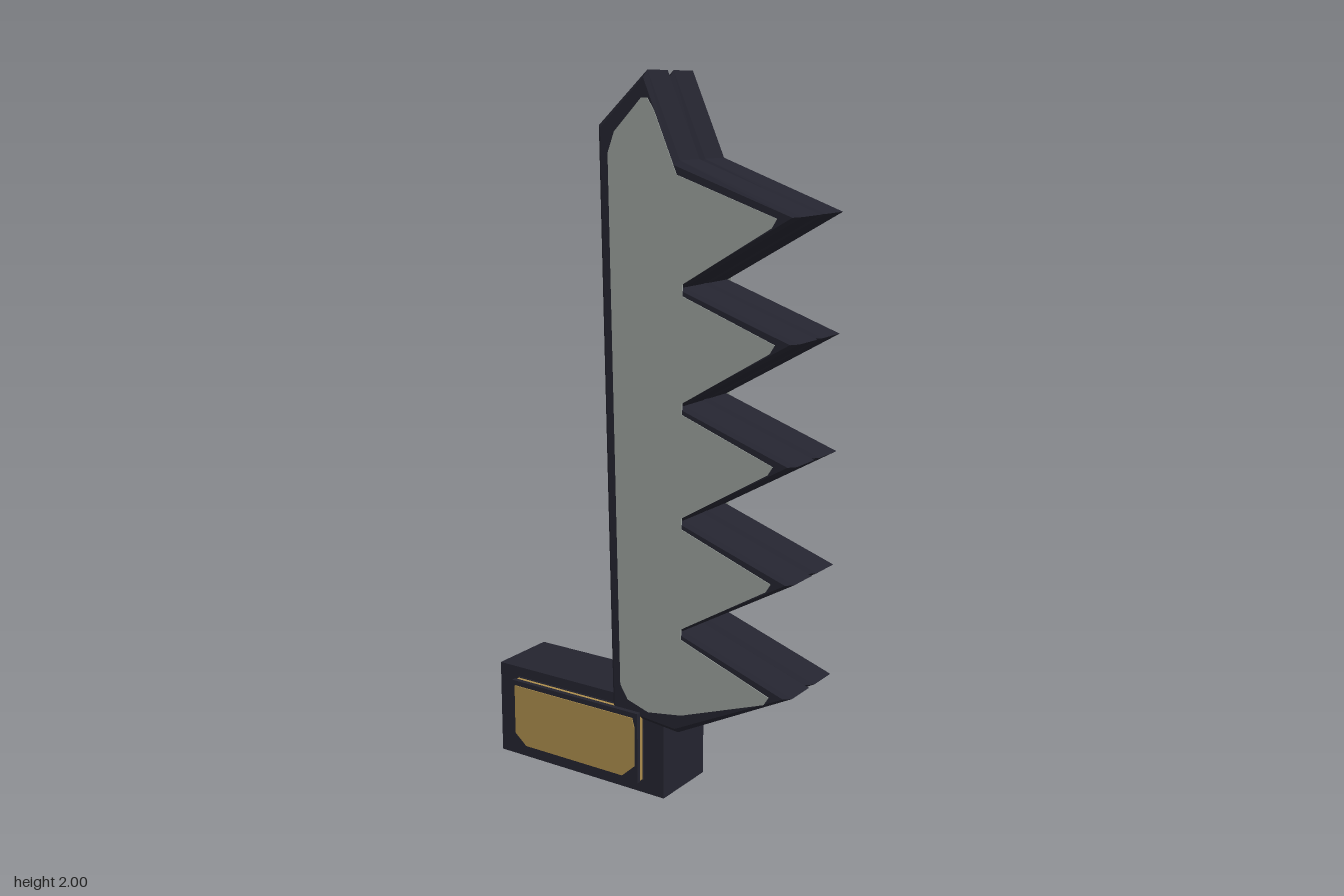
import * as THREE from 'three';

const dark = new THREE.MeshStandardMaterial({ color: 0x24242f });
dark.name = 'dark iron';
const steel = new THREE.MeshStandardMaterial({ color: 0x999f9b });
steel.name = 'grey steel';
const brass = new THREE.MeshStandardMaterial({ color: 0xab8c4c });
brass.name = 'brass';

const shapeOf = (pts) => new THREE.Shape(pts.map(([x, y]) => new THREE.Vector2(x, y)));

export function createModel() {
  const model = new THREE.Group();

  const add = (parent, name, geometry, material, x = 0, y = 0, z = 0) => {
    const mesh = new THREE.Mesh(geometry, material);
    mesh.name = name;
    mesh.position.set(x, y, z);
    parent.add(mesh);
    return mesh;
  };
  const block = (parent, name, material, x0, x1, y0, y1, z0, z1) =>
    add(parent, name, new THREE.BoxGeometry(x1 - x0, y1 - y0, z1 - z0), material,
      (x0 + x1) / 2, (y0 + y1) / 2, (z0 + z1) / 2);
  const plate = (parent, name, material, pts, side, z) =>
    add(parent, name, new THREE.ExtrudeGeometry(shapeOf(pts), { depth: 0.004, bevelEnabled: false }),
      material, 0, 0, side > 0 ? z - 0.002 : -z - 0.002);

  // Saw outline and its smaller steel face, with five teeth each
  const outline = [[-0.115, 1.86], [0.04, 2.0], [0.14, 1.775]];
  const face = [[-0.076, 1.79], [-0.055, 1.845], [0.03, 1.93], [0.05, 1.93], [0.07, 1.9], [0.14, 1.74]];
  const pitch = 0.3125;
  for (let i = 0; i < 5; i++) {
    const y = 1.648 - i * pitch;
    outline.push([0.497, y]);
    face.push([0.435, y - 0.006], [0.42, y - 0.03]);
    if (i < 4) {
      outline.push([0.155, y - 0.195]);
      face.push([0.158, y - 0.186], [0.158, y - 0.216]);
    }
  }
  outline.push([0.14, 0.215], [-0.08, 0.235]);
  face.push([0.16, 0.275], [0.05, 0.258], [-0.02, 0.28], [-0.045, 0.32]);

  // Blade: two bevelled slabs meeting at a central groove
  const blade = new THREE.Group();
  blade.name = 'blade';
  model.add(blade);
  const bevel = 0.014;
  const slab = new THREE.ExtrudeGeometry(shapeOf(outline), {
    depth: 0.12 - 2 * bevel, bevelEnabled: true, bevelSegments: 1,
    bevelThickness: bevel, bevelSize: bevel, bevelOffset: -bevel,
  });
  for (const side of [1, -1]) {
    const label = side > 0 ? 'front' : 'back';
    add(blade, label + 'Slab', slab, dark, 0, 0, side > 0 ? bevel : bevel - 0.12);
    plate(blade, label + 'BladeFace', steel, face, side, 0.12);
  }

  // Grip block
  const grip = new THREE.Group();
  grip.name = 'grip';
  model.add(grip);
  block(grip, 'gripBlock', dark, -0.5, 0.09, 0, 0.28, -0.103, 0.103);

  // Side panels: brass core, dark outer slab and brass inlay
  const inlay = [[-0.42, 0.235], [0.005, 0.235], [0.012, 0.21], [0.012, 0.09],
    [-0.03, 0.052], [-0.38, 0.052], [-0.42, 0.085]];
  for (const side of [1, -1]) {
    const label = side > 0 ? 'front' : 'back';
    const span = (a, b) => (side > 0 ? [a, b] : [-b, -a]);
    block(grip, label + 'PanelBase', dark, -0.43, 0.022, 0.04, 0.25, ...span(0.1, 0.107));
    block(grip, label + 'PanelCore', brass, -0.428, 0.02, 0.042, 0.248, ...span(0.107, 0.121));
    block(grip, label + 'PanelFrame', dark, -0.43, 0.022, 0.04, 0.25, ...span(0.121, 0.135));
    plate(grip, label + 'PanelInlay', brass, inlay, side, 0.1355);
  }
  return model;
}
